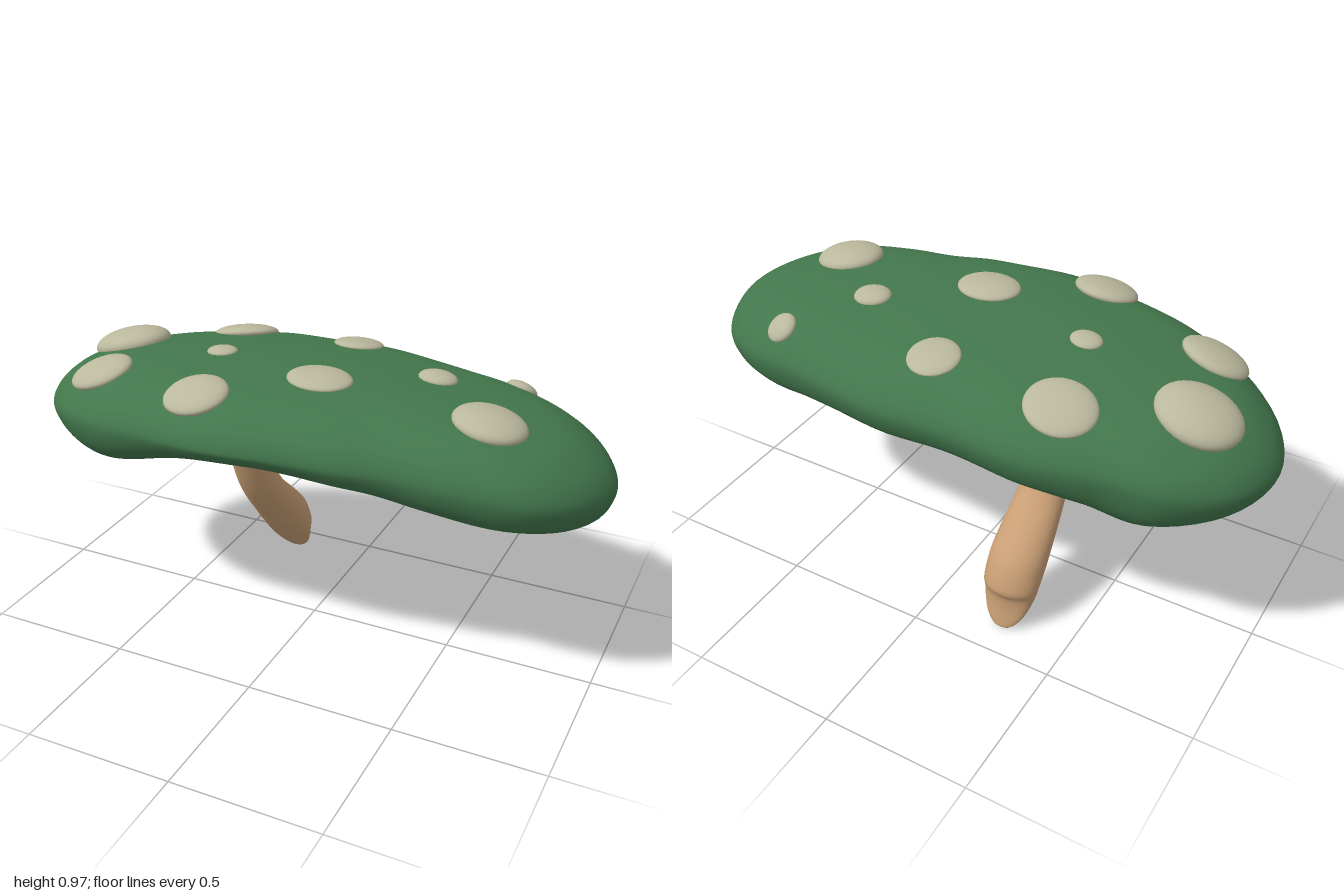
import * as THREE from 'three';

const green = new THREE.MeshStandardMaterial({ color: 0x43774c });
green.name = 'capGreen';
const cream = new THREE.MeshStandardMaterial({ color: 0xbab89c });
cream.name = 'spotCream';
const tan = new THREE.MeshStandardMaterial({ color: 0xc89e74 });
tan.name = 'stemTan';

// Smooth surface from closed rings; point(u, v) with u around and v from top to bottom
function loft(around, rows, point) {
  const pos = [], idx = [];
  for (let j = 0; j <= rows; j++)
    for (let i = 0; i < around; i++) pos.push(...point(i / around, j / rows));
  for (let j = 0; j < rows; j++)
    for (let i = 0; i < around; i++) {
      const k = (i + 1) % around;
      const a = j * around + i, b = a + around, c = j * around + k, d = c + around;
      idx.push(a, c, b, c, d, b);
    }
  const g = new THREE.BufferGeometry();
  g.setAttribute('position', new THREE.Float32BufferAttribute(pos, 3));
  g.setIndex(idx);
  g.computeVertexNormals();
  return g;
}

// Cap: wavy outline (x, z) swept with a domed profile (radius share, height)
const outline = new THREE.CatmullRomCurve3([
  [1, 0], [0.94, 0.17], [0.81, 0.295], [0.6, 0.35], [0.4, 0.37], [0.25, 0.41], [0.1, 0.43],
  [-0.15, 0.46], [-0.4, 0.43], [-0.6, 0.39], [-0.8, 0.29], [-0.95, 0.14], [-1, -0.02],
  [-0.94, -0.2], [-0.78, -0.34], [-0.6, -0.385], [-0.5, -0.42], [-0.35, -0.458], [-0.1, -0.456],
  [0.15, -0.465], [0.4, -0.42], [0.55, -0.39], [0.7, -0.36], [0.87, -0.27], [0.97, -0.13],
].map(([x, z]) => new THREE.Vector3(x, 0, z)), true);

const profile = new THREE.SplineCurve([
  [0, 0.158], [0.3, 0.155], [0.6, 0.142], [0.77, 0.122], [0.88, 0.09], [0.96, 0.05], [1, 0],
  [0.975, -0.05], [0.92, -0.088], [0.83, -0.117], [0.71, -0.13], [0.59, -0.126], [0.42, -0.114],
  [0.2, -0.108], [0, -0.108],
].map(([r, y]) => new THREE.Vector2(r, y)));

function makeCap() {
  const geometry = loft(120, 64, (u, v) => {
    const edge = outline.getPoint(u), p = profile.getPoint(v);
    // The rim is blunter at both ends
    const r = Math.max(0, p.x) ** (1 - 0.42 * edge.x ** 4);
    const x = edge.x * r, z = edge.z * r;
    const bend = (x < 0 ? 0.1 : 0.085) * x * x;
    // The lip hangs lower towards the ends, most on the right, and rises at the middle front
    const hang = x < 0 ? 0.072 * Math.exp(-(((x + 0.68) / 0.28) ** 2)) : 0.045 * x;
    const lift = 0.012 + 0.04 * z + (z > 0 ? 0.2 * z * z * Math.exp(-4 * x * x) : 0);
    const under = Math.max(0, -p.y / 0.13);
    return [x, 0.79 - bend + 0.035 * z + p.y + under * (lift - hang), z];
  });
  const cap = new THREE.Mesh(geometry, green);
  cap.name = 'cap';
  return cap;
}

// Stem: horizontal rings given as [y, front z, back z, half width]
function makeStem() {
  const rings = [
    [0.78, 0.08, -0.05, 0.06], [0.66, 0.06, -0.08, 0.066], [0.58, 0.038, -0.102, 0.07],
    [0.48, -0.003, -0.14, 0.075], [0.4, -0.043, -0.2, 0.081], [0.32, -0.098, -0.29, 0.09],
    [0.25, -0.158, -0.36, 0.097], [0.19, -0.208, -0.39, 0.098], [0.155, -0.243, -0.398, 0.096],
    [0.125, -0.27, -0.386, 0.092], [0.08, -0.312, -0.386, 0.08], [0.035, -0.355, -0.393, 0.058],
    [0.008, -0.382, -0.397, 0.028], [0, -0.392, -0.392, 0],
  ];
  const front = new THREE.CatmullRomCurve3(rings.map(r => new THREE.Vector3(r[3], r[0], r[1])));
  const back = new THREE.CatmullRomCurve3(rings.map(r => new THREE.Vector3(r[3], r[0], r[2])));
  const geometry = loft(40, 52, (u, v) => {
    const f = front.getPoint(v), b = back.getPoint(v), a = u * Math.PI * 2;
    return [
      -0.268 + Math.cos(a) * f.x,
      Math.max(0, f.y),
      (f.z + b.z) / 2 + Math.sin(a) * (f.z - b.z) / 2,
    ];
  });
  const stem = new THREE.Mesh(geometry, tan);
  stem.name = 'stem';
  return stem;
}

// Spots: flattened domes seated on the cap, [x, z, x radius, z radius, height]
const spots = [
  [-0.76, -0.1, 0.14, 0.12, 0.055], [-0.41, -0.3, 0.115, 0.105, 0.03],
  [0.028, -0.295, 0.085, 0.085, 0.02], [0.605, -0.31, 0.054, 0.054, 0.025],
  [0.387, -0.1, 0.065, 0.056, 0.025], [-0.34, 0, 0.053, 0.046, 0.018],
  [0.07, 0.11, 0.108, 0.09, 0.025], [0.63, 0.115, 0.118, 0.105, 0.042],
  [-0.69, 0.2, 0.115, 0.098, 0.035], [-0.25, 0.33, 0.108, 0.1, 0.033],
];

function makeSpots(cap) {
  const group = new THREE.Group();
  group.name = 'spots';
  const dome = new THREE.SphereGeometry(1, 32, 20);
  const up = new THREE.Vector3(0, 1, 0);
  for (const [x, z, rx, rz, h] of spots) {
    const ray = new THREE.Raycaster(new THREE.Vector3(x, 2, z), new THREE.Vector3(0, -1, 0));
    const hit = ray.intersectObject(cap)[0];
    const spot = new THREE.Mesh(dome, cream);
    spot.name = 'spot';
    spot.position.copy(hit.point);
    spot.quaternion.setFromUnitVectors(up, hit.face.normal);
    spot.scale.set(rx, h, rz);
    group.add(spot);
  }
  return group;
}

export function createModel() {
  const model = new THREE.Group();
  model.name = 'mushroom';
  const cap = makeCap();
  model.add(cap, makeStem(), makeSpots(cap));
  return model;
}
